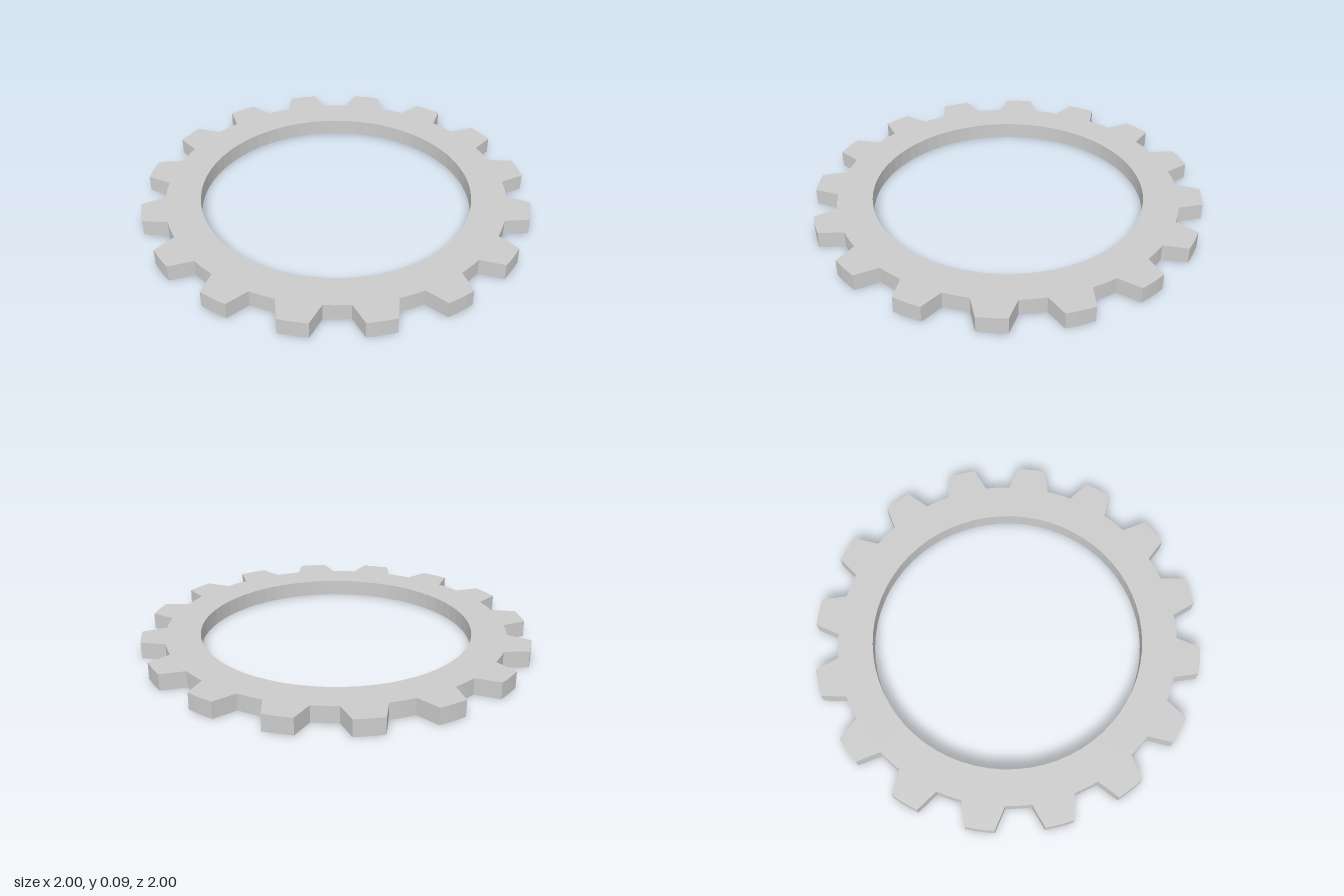
import * as THREE from 'three';

const TEETH = 16;
const TIP_RADIUS = 1, ROOT_RADIUS = 0.88, HOLE_RADIUS = 0.7, HEIGHT = 0.085;
const TIP_HALF = 0.073, ROOT_HALF = 0.122; // half angles of a tooth at tip and root

// Points along an arc, ends included
function arc(radius, from, to, segments) {
  return Array.from({ length: segments + 1 }, (_, i) => {
    const a = from + ((to - from) * i) / segments;
    return new THREE.Vector2(radius * Math.cos(a), radius * Math.sin(a));
  });
}

export function createModel() {
  const group = new THREE.Group();
  group.name = 'gearRing';

  // Toothed outline: a tip arc, then the root arc up to the next tooth
  const pitch = (Math.PI * 2) / TEETH;
  const outline = [];
  for (let i = 0; i < TEETH; i++) {
    const a = i * pitch;
    outline.push(...arc(TIP_RADIUS, a - TIP_HALF, a + TIP_HALF, 3));
    outline.push(...arc(ROOT_RADIUS, a + ROOT_HALF, a + pitch - ROOT_HALF, 3));
  }
  const shape = new THREE.Shape(outline);

  // Round central opening
  shape.holes.push(new THREE.Path(arc(HOLE_RADIUS, 0, Math.PI * 2, 64).slice(0, -1)));

  // Flat ring lying on the ground plane
  const geometry = new THREE.ExtrudeGeometry(shape, { depth: HEIGHT, bevelEnabled: false });
  geometry.rotateX(-Math.PI / 2);
  const ring = new THREE.Mesh(
    geometry,
    new THREE.MeshStandardMaterial({ color: 0xcccccc, flatShading: true })
  );
  ring.name = 'toothedRing';
  group.add(ring);
  return group;
}
